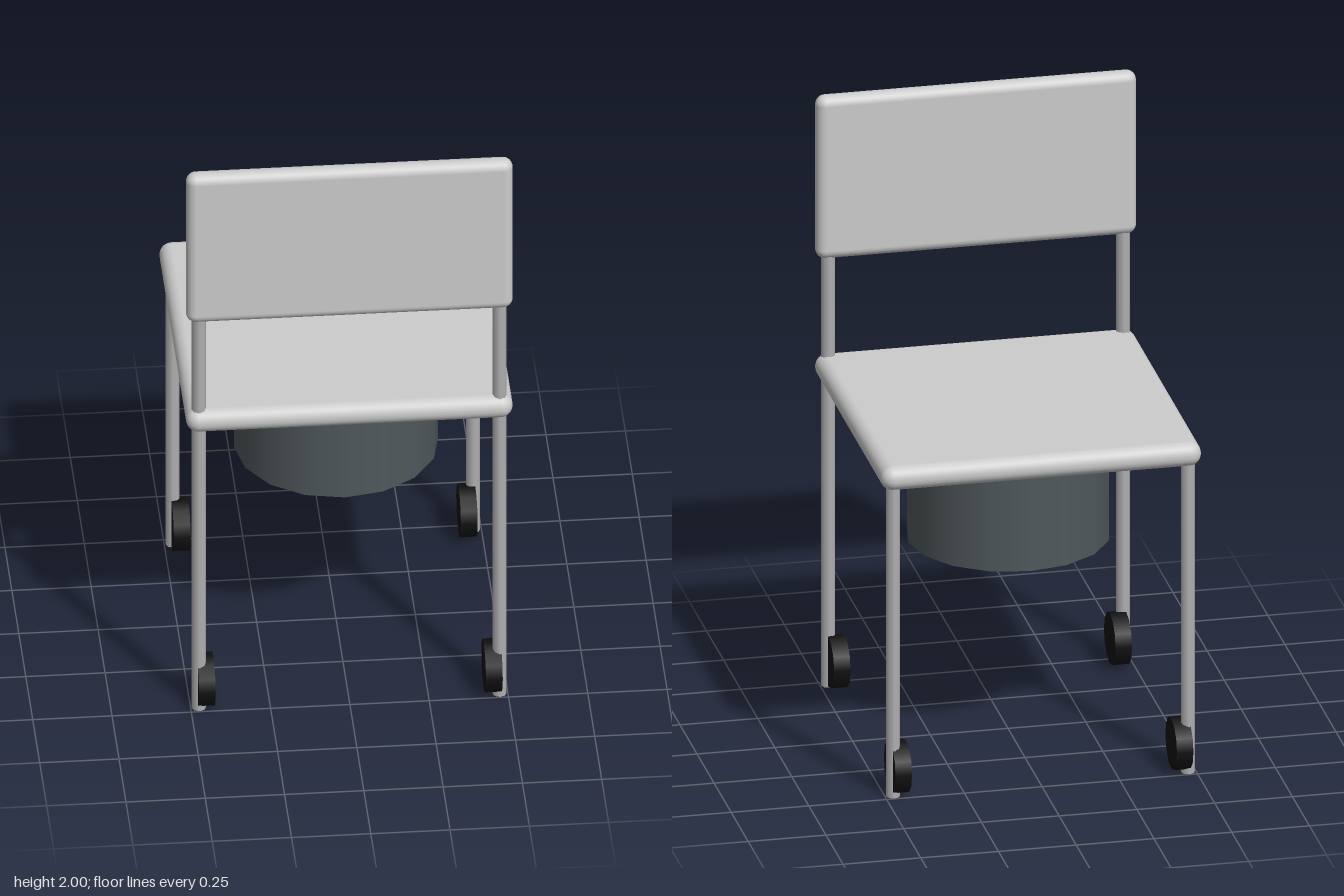
import * as THREE from 'three';
import { RoundedBoxGeometry } from 'three/addons/geometries/RoundedBoxGeometry.js';

function material(name, color) {
  const m = new THREE.MeshStandardMaterial({ color });
  m.name = name;
  return m;
}

export function createModel() {
  const chair = new THREE.Group();
  chair.name = 'wheeledChair';

  const panelGrey = material('panelGrey', 0xcccccc);
  const tubeGrey = material('tubeGrey', 0xb0b0b0);
  const bucketGrey = material('bucketGrey', 0x50585b);
  const tyreBlack = material('tyreBlack', 0x111111);

  const add = (name, geometry, mat, x, y, z) => {
    const mesh = new THREE.Mesh(geometry, mat);
    mesh.name = name;
    mesh.position.set(x, y, z);
    chair.add(mesh);
    return mesh;
  };

  // Seat and backrest: slabs with fully rounded edges
  add('seat', new RoundedBoxGeometry(1.03, 0.08, 1.03, 4, 0.039), panelGrey, 0, 1.08, 0);
  add('backrest', new RoundedBoxGeometry(1.03, 0.55, 0.064, 4, 0.031), panelGrey, 0, 1.725, 0.476);

  // Bucket hanging below the seat
  add('bucket', new THREE.CylinderGeometry(0.322, 0.322, 0.32, 16), bucketGrey, 0, 0.82, 0);

  // Four legs, the pair under the backrest running up to carry it
  const wheel = new THREE.CylinderGeometry(0.085, 0.085, 0.053, 12).rotateZ(Math.PI / 2);
  for (const side of [1, -1]) {
    for (const end of [1, -1]) {
      const height = end > 0 ? 1.47 : 1.06;
      const name = (side > 0 ? 'left' : 'right') + (end > 0 ? 'Backrest' : 'Open');
      add(name + 'Leg', new THREE.CylinderGeometry(0.0225, 0.0225, height, 8),
        tubeGrey, side * 0.474, height / 2, end * 0.475);
      // Wheel on the inner side of the leg
      add(name + 'Wheel', wheel, tyreBlack, side * 0.4525, 0.09, end * 0.45);
    }
  }
  return chair;
}
